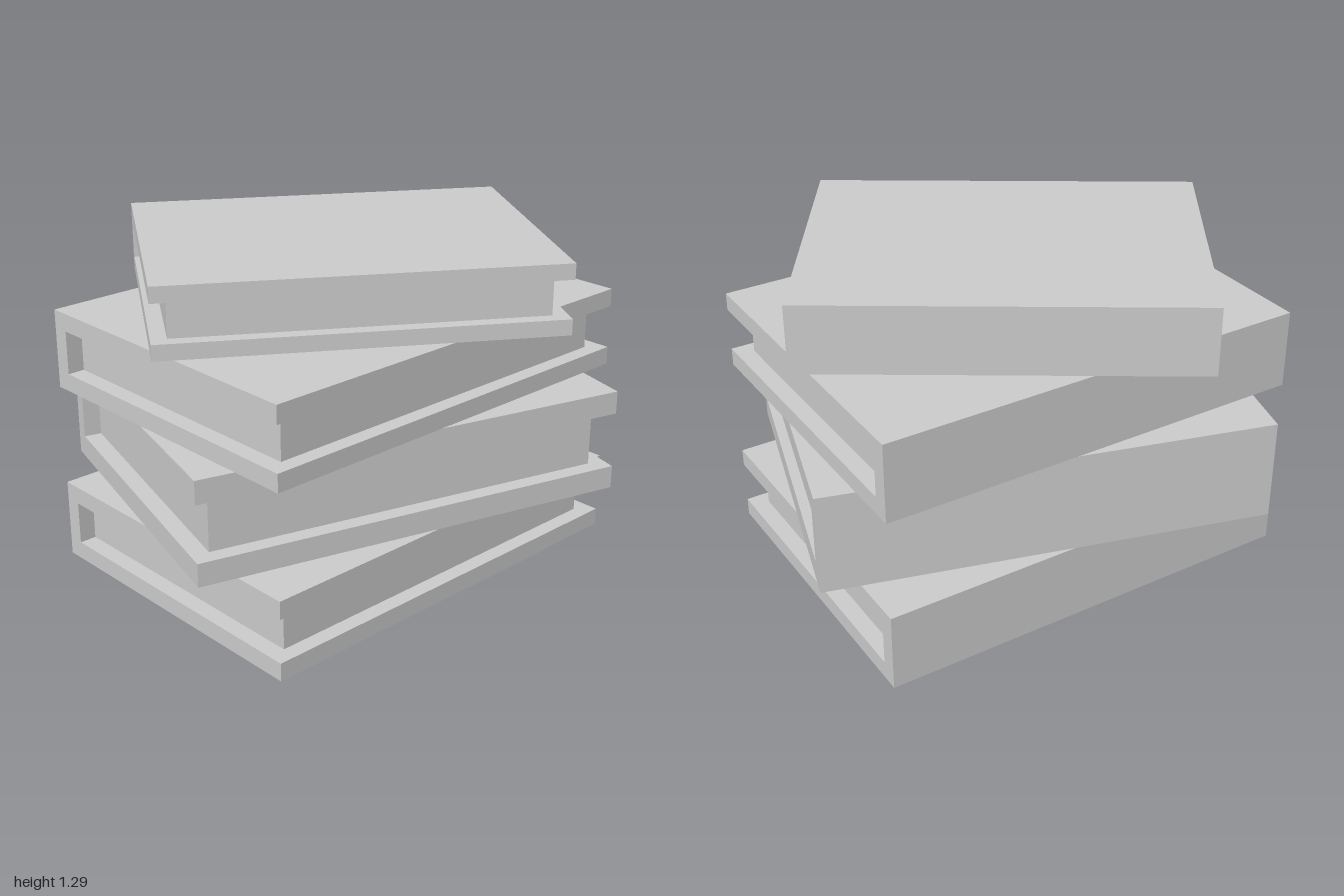
import * as THREE from 'three';

// Shared proportions of one closed book lying flat, spine towards -z
const HALF_W = 0.858, HALF_D = 0.632, HEIGHT = 0.31, BOARD = 0.07, SPINE = 0.066;
const PAGE_HALF_W = 0.79, PAGE_FRONT = 0.57;

const material = new THREE.MeshStandardMaterial({ color: 0xcccccc, flatShading: true });

// Wraparound cover: a C-shaped section (z across, y up) extruded along the book's width
function coverGeometry() {
  const inner = SPINE - HALF_D;
  const section = new THREE.Shape([
    [-HALF_D, 0], [HALF_D, 0], [HALF_D, BOARD], [inner, BOARD],
    [inner, HEIGHT - BOARD], [HALF_D, HEIGHT - BOARD], [HALF_D, HEIGHT], [-HALF_D, HEIGHT],
  ].map(([z, y]) => new THREE.Vector2(-z, y)));
  return new THREE.ExtrudeGeometry(section, { depth: 2 * HALF_W, bevelEnabled: false })
    .translate(0, 0, -HALF_W)
    .rotateY(Math.PI / 2);
}

// Page block filling the space between the boards
function pagesGeometry() {
  const back = SPINE - HALF_D;
  return new THREE.BoxGeometry(2 * PAGE_HALF_W, HEIGHT - 2 * BOARD, PAGE_FRONT - back)
    .translate(0, HEIGHT / 2, (PAGE_FRONT + back) / 2);
}

export function createModel() {
  const stack = new THREE.Group();
  stack.name = 'bookStack';
  const cover = coverGeometry();
  const pages = pagesGeometry();

  // Books from bottom to top: turn in degrees, size in plan, thickness factor
  const books = [
    { name: 'bottomBook', turn: 0, size: 1, thickness: 1 },
    { name: 'thickBook', turn: -15.9, size: 1, thickness: 1.29 },
    { name: 'thirdBook', turn: 0, size: 1, thickness: 1 },
    { name: 'topBook', turn: -32.8, size: 0.865, thickness: 0.86 },
  ];

  let y = 0;
  for (const { name, turn, size, thickness } of books) {
    const book = new THREE.Group();
    book.name = name;
    for (const [part, geometry] of [['cover', cover], ['pages', pages]]) {
      const mesh = new THREE.Mesh(geometry, material);
      mesh.name = part;
      book.add(mesh);
    }
    book.scale.set(size, thickness, size);
    book.rotation.y = THREE.MathUtils.degToRad(turn);
    book.position.y = y;
    y += HEIGHT * thickness;
    stack.add(book);
  }
  return stack;
}
